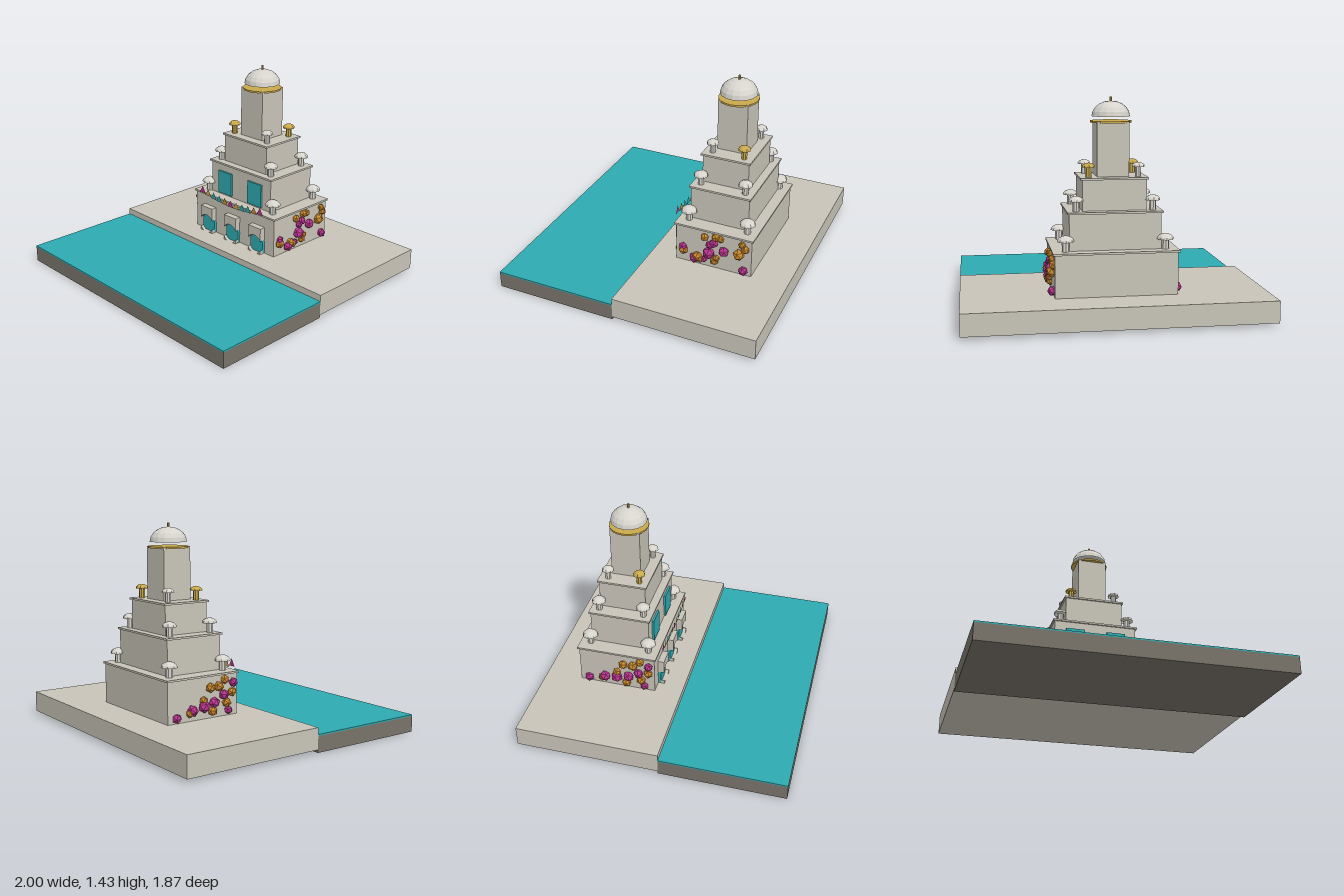
import * as THREE from 'three';

const mat = (name, color, opts = {}) => {
  const m = new THREE.MeshStandardMaterial({ color, flatShading: true, ...opts });
  m.name = name;
  return m;
};

export function createModel() {
  const D = { side: THREE.DoubleSide };
  const stone = mat('stone', 0xc8c4b8);
  const marble = mat('pale marble', 0xd6d4cc, D);
  const gold = mat('gold', 0xc9a94c, D);
  const teal = mat('teal', 0x2eaab0, D);
  const orange = mat('marigold', 0xcc8a2c, D);
  const magenta = mat('magenta', 0xbe3592, D);
  const bed = mat('river bed', 0x78736a);

  const root = new THREE.Group();
  const CZ = -0.4; // temple centre
  const add = (name, geo, material, x, y, z, parent = root) => {
    const m = new THREE.Mesh(geo, material);
    m.name = name;
    m.position.set(x, y, z);
    parent.add(m);
    return m;
  };
  // box given by its bottom and top heights
  const box = (name, material, w, y0, y1, d, x, z) =>
    add(name, new THREE.BoxGeometry(w, y1 - y0, d), material, x, (y0 + y1) / 2, z);
  const dome = (name, material, r, h, seg, rings, x, y, z, parent) => {
    const geo = new THREE.SphereGeometry(r, seg, rings, 0, Math.PI * 2, 0, Math.PI / 2);
    geo.scale(1, h / r, 1);
    return add(name, geo, material, x, y, z, parent);
  };

  // Ground and water
  box('plinth', stone, 2, 0.02, 0.165, 1, 0, -0.435);
  box('riverBed', bed, 2, 0, 0.11, 0.87, 0, 0.5);
  box('water', teal, 2, 0.11, 0.12, 0.87, 0, 0.5);

  // Stepped tiers, each with a ledge and four corner pavilions
  const tiers = [
    { w: 0.80, d: 0.55, y0: 0.165, y1: 0.443, px: 0.325, pz: 0.212, r: 0.056, c: 0.024 },
    { w: 0.60, d: 0.42, y0: 0.455, y1: 0.693, px: 0.25, pz: 0.16, r: 0.05, c: 0.022 },
    { w: 0.42, d: 0.33, y0: 0.705, y1: 0.906, px: 0.163, pz: 0.112, r: 0.043, c: 0.02 },
  ];
  tiers.forEach((t, i) => {
    const top = t.y1 + 0.013;
    box('tier', stone, t.w, t.y0, top, t.d, 0, CZ);
    box('ledge', stone, t.w + 0.022, t.y1, top, t.d + 0.022, 0, CZ);
    for (const sx of [-1, 1]) for (const sz of [-1, 1]) {
      const material = i === 2 && sx === -sz ? gold : marble;
      const p = new THREE.Group();
      p.name = 'cornerPavilion';
      p.position.set(sx * t.px, top, CZ + sz * t.pz);
      root.add(p);
      add('pavilionColumn', new THREE.CylinderGeometry(t.c, t.c, 0.067, 8), material, 0, 0.0335, 0, p);
      dome('pavilionDome', material, t.r, t.r * 0.68, 8, 4, 0, 0.065, 0, p);
    }
  });

  // Tower, gold collar, main dome and finial
  box('tower', stone, 0.21, 0.919, 1.275, 0.21, 0, CZ);
  add('collar', new THREE.CylinderGeometry(0.137, 0.137, 0.012, 20), gold, 0, 1.27, CZ);
  dome('mainDome', marble, 0.127, 0.1, 16, 5, 0, 1.305, CZ);
  add('finial', new THREE.CylinderGeometry(0.008, 0.008, 0.04, 8), gold, 0, 1.412, CZ);

  // Upper windows
  for (const s of [-1, 1]) box('upperWindow', teal, 0.135, 0.47, 0.64, 0.015, s * 0.15, -0.183);

  // Arched doorways: a block cut by a circle slightly wider than itself
  const R = 0.07, CY = 0.23, H = 0.06;
  const a = Math.acos(H / R), dy = R * Math.sin(a);
  const head = new THREE.Shape();
  head.moveTo(-H, 0.363);
  head.lineTo(-H, CY + dy);
  head.absarc(0, CY, R, Math.PI - a, a, true);
  head.lineTo(H, 0.363);
  const foot = new THREE.Shape();
  foot.moveTo(H, 0.165);
  foot.lineTo(H, CY - dy);
  foot.absarc(0, CY, R, -a, -1.2, true);
  foot.lineTo(R * Math.cos(1.2), 0.165);
  const foot2 = new THREE.Shape(foot.getPoints(8).map((p) => new THREE.Vector2(-p.x, p.y)));
  const pane = new THREE.Shape();
  pane.moveTo(-0.061, 0.168);
  pane.lineTo(0.061, 0.168);
  pane.lineTo(0.061, 0.24);
  pane.absarc(0, 0.24, 0.061, 0, Math.PI, false);
  const frameGeo = new THREE.ExtrudeGeometry([head, foot, foot2], { depth: 0.045, bevelEnabled: false, curveSegments: 10 });
  const paneGeo = new THREE.ExtrudeGeometry(pane, { depth: 0.02, bevelEnabled: false, curveSegments: 12 });
  for (const x of [-0.25, 0, 0.25]) {
    add('doorFrame', frameGeo, stone, x, 0, -0.126);
    add('doorPane', paneGeo, teal, x, 0, -0.126);
  }

  // Sagging row of pennants
  const flag = new THREE.ShapeGeometry(new THREE.Shape([
    new THREE.Vector2(-0.03, 0), new THREE.Vector2(0.03, 0), new THREE.Vector2(0, 0.052)]));
  const cycle = [magenta, gold, teal, teal, orange];
  for (let i = 0; i < 11; i++) {
    const u = (i - 5) / 5;
    add('pennant', flag, [magenta, orange][i === 9 ? 1 : 0] && (i === 9 ? orange : i === 1 ? gold : cycle[i % 5]),
      u * 0.295, 0.436 + 0.03 * u * u, -0.088);
  }

  // Flower clusters on both side walls: z, y, radius
  const flowers = (side, material, list) => list.forEach(([z, y, r], i) => {
    const m = add('flower', new THREE.IcosahedronGeometry(r, 0), material, side * (0.405 + 0.004 * (i % 3)), y, z);
    m.rotation.set(i * 1.3, i * 0.7, 0);
  });
  flowers(1, orange, [[-0.18, 0.255, 0.036], [-0.285, 0.23, 0.036], [-0.34, 0.4, 0.03], [-0.42, 0.415, 0.032],
    [-0.455, 0.41, 0.025], [-0.61, 0.41, 0.026], [-0.63, 0.375, 0.032], [-0.587, 0.325, 0.042],
    [-0.31, 0.215, 0.027], [-0.41, 0.22, 0.03], [-0.425, 0.25, 0.025]]);
  flowers(1, magenta, [[-0.265, 0.21, 0.039], [-0.37, 0.28, 0.045], [-0.48, 0.32, 0.038], [-0.405, 0.365, 0.033],
    [-0.375, 0.345, 0.028], [-0.622, 0.205, 0.033], [-0.18, 0.28, 0.03], [-0.335, 0.22, 0.025]]);
  flowers(-1, magenta, [[-0.61, 0.2, 0.034], [-0.49, 0.235, 0.04], [-0.4, 0.25, 0.042], [-0.315, 0.265, 0.04],
    [-0.24, 0.31, 0.036], [-0.165, 0.385, 0.032], [-0.2, 0.2, 0.03]]);
  flowers(-1, orange, [[-0.17, 0.32, 0.034], [-0.28, 0.37, 0.036], [-0.35, 0.37, 0.034], [-0.4, 0.29, 0.03],
    [-0.33, 0.21, 0.034], [-0.22, 0.255, 0.034], [-0.23, 0.41, 0.032], [-0.51, 0.22, 0.03]]);

  return root;
}
